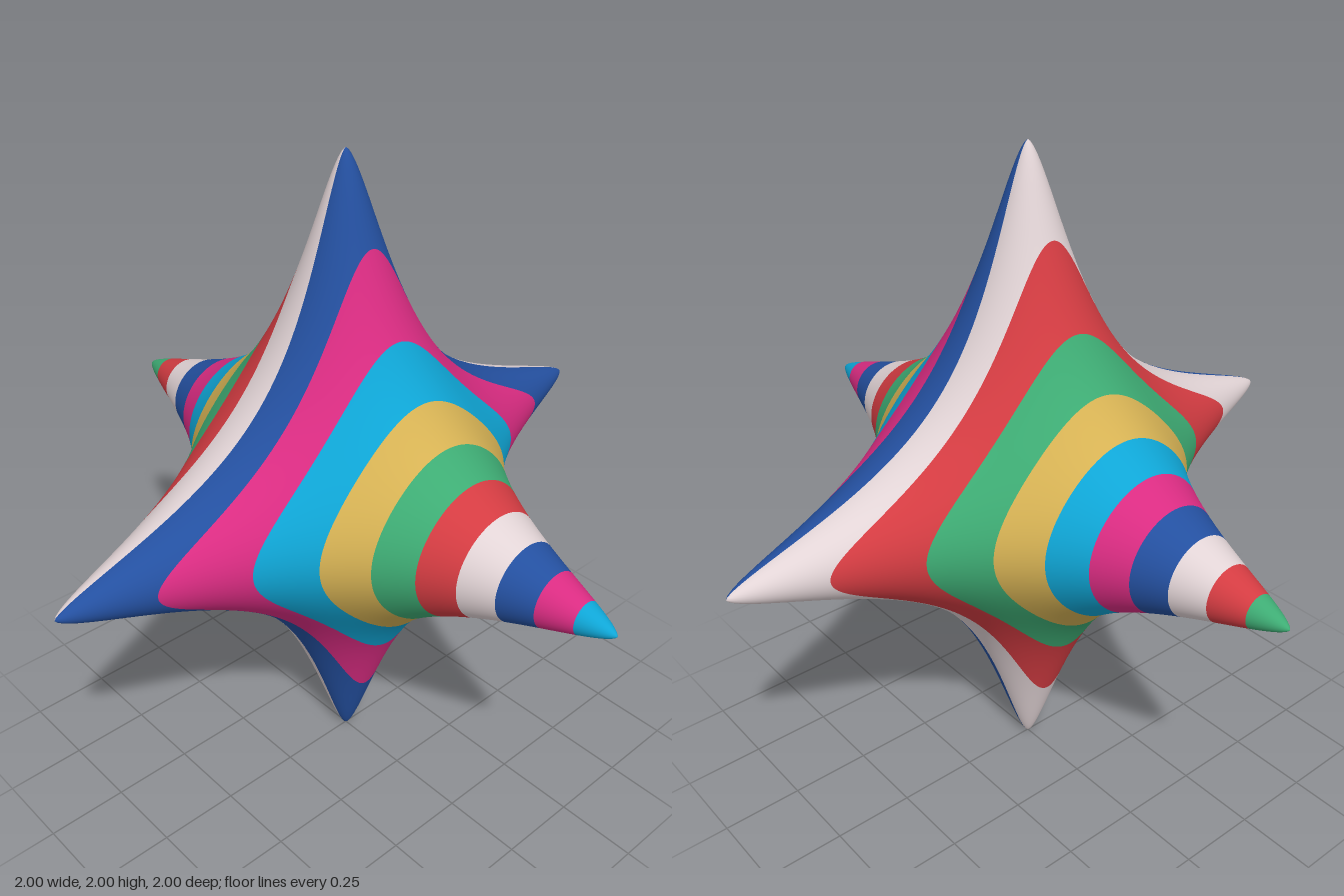
import * as THREE from 'three';

// Six-pointed star surface: A * (x²y² + y²z² + z²x²) = (1 - x² - y² - z²)^P
const A = 58;
const P = 1.3;
const SEGMENTS = 192;
const STRIPE = 0.1;

const paint = (name, color) => {
  const m = new THREE.MeshStandardMaterial({ color });
  m.name = name;
  return m;
};

// Distance from the x axis to the surface, in the slice at x and direction (c, s)
function sliceRadius(x, c, s) {
  const xx = x * x;
  let lo = 0;
  let hi = Math.sqrt(Math.max(0, 1 - xx));
  for (let i = 0; i < 45; i++) {
    const r = (lo + hi) / 2;
    const rr = r * r;
    const inside = A * (xx * rr + rr * rr * c * c * s * s) < Math.pow(Math.max(0, 1 - xx - rr), P);
    if (inside) lo = r;
    else hi = r;
  }
  return (lo + hi) / 2;
}

// Smooth outward normal from the gradient of the surface equation
function surfaceNormal(x, y, z) {
  const xx = x * x, yy = y * y, zz = z * z;
  const g = P * Math.pow(Math.max(1e-4, 1 - xx - yy - zz), P - 1);
  return new THREE.Vector3(
    x * (A * (yy + zz) + g),
    y * (A * (xx + zz) + g),
    z * (A * (xx + yy) + g)
  ).normalize();
}

// One stripe of the star between two x positions
function stripeGeometry(k) {
  const inner = k === 0 || k === -1;
  const tip = k === 9 || k === -10;
  const rows = inner ? 22 : tip ? 14 : 8;
  const side = k < 0 ? -1 : 1;
  const band = k < 0 ? -k - 1 : k;
  const positions = [], normals = [], index = [];
  for (let i = 0; i <= rows; i++) {
    // rows crowd together where the surface curves most
    const u = side > 0 ? i / rows : 1 - i / rows;
    const t = inner ? u * u : tip ? 1 - (1 - u) * (1 - u) : u;
    const x = side * STRIPE * (band + t);
    for (let j = 0; j <= SEGMENTS; j++) {
      const even = (j / SEGMENTS) * Math.PI * 2;
      const angle = even - 0.2 * Math.sin(4 * even);
      const c = Math.cos(angle), s = Math.sin(angle);
      const r = sliceRadius(x, c, s);
      const n = surfaceNormal(x, r * c, r * s);
      positions.push(x, r * c, r * s);
      normals.push(n.x, n.y, n.z);
    }
  }
  const w = SEGMENTS + 1;
  for (let i = 0; i < rows; i++) {
    for (let j = 0; j < SEGMENTS; j++) {
      const a = i * w + j, b = a + w;
      index.push(a, a + 1, b, b, a + 1, b + 1);
    }
  }
  const geometry = new THREE.BufferGeometry();
  geometry.setAttribute('position', new THREE.Float32BufferAttribute(positions, 3));
  geometry.setAttribute('normal', new THREE.Float32BufferAttribute(normals, 3));
  geometry.setIndex(index);
  return geometry;
}

export function createModel() {
  const colours = [
    paint('blue', 0x2450a0),
    paint('magenta', 0xda2c82),
    paint('cyan', 0x0fa6d6),
    paint('yellow', 0xd6b254),
    paint('green', 0x3eac74),
    paint('red', 0xd43c42),
    paint('offWhite', 0xe2d4d6),
  ];
  const star = new THREE.Group();
  star.name = 'stripedStar';

  // Stripes run from the right tip to the left tip, repeating seven colours
  for (let k = -10; k < 10; k++) {
    const material = colours[(k + 14) % 7];
    const stripe = new THREE.Mesh(stripeGeometry(k), material);
    stripe.name = `${material.name}Stripe${k + 11}`;
    stripe.position.y = 1;
    star.add(stripe);
  }
  return star;
}
